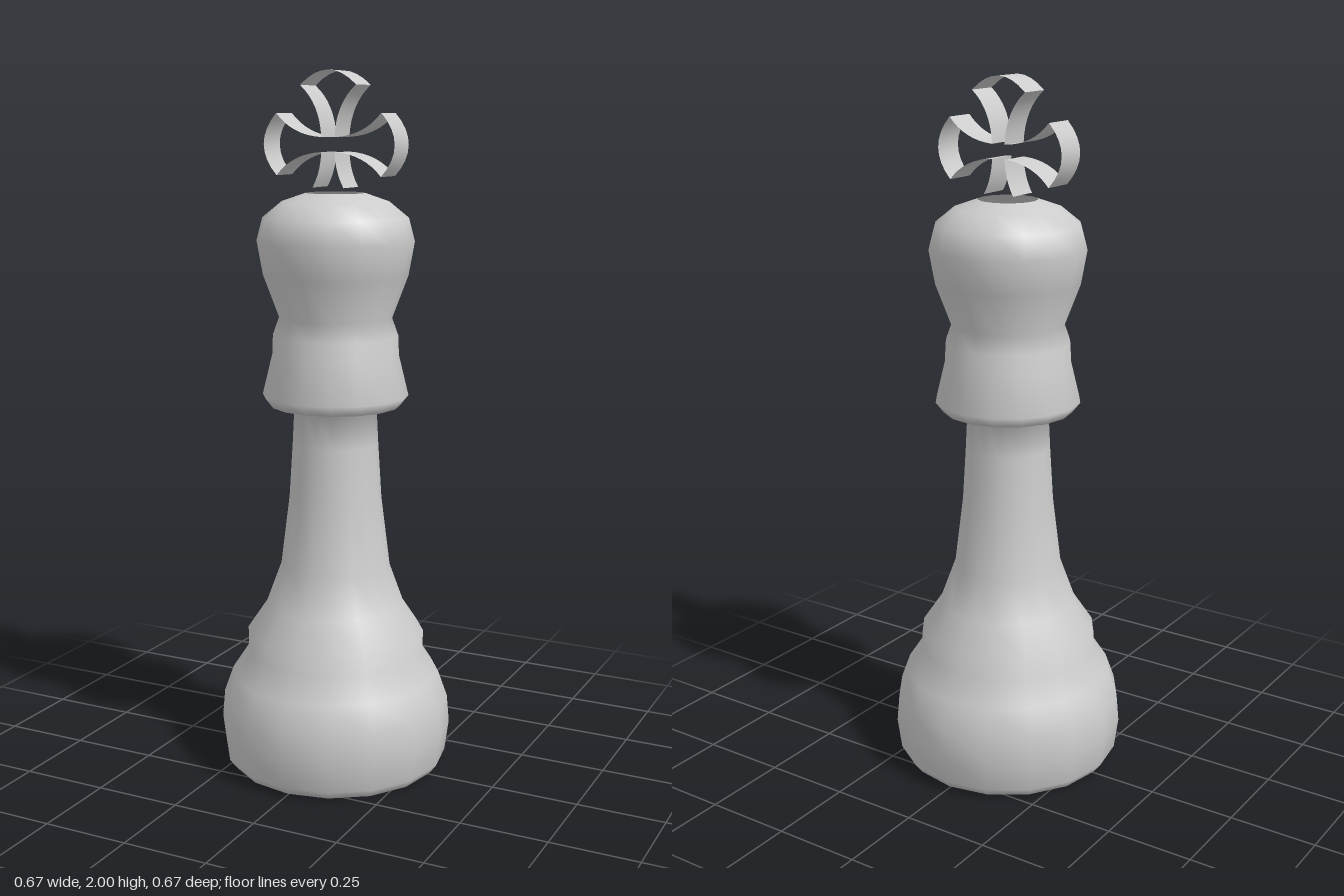
import * as THREE from 'three';

const grey = new THREE.MeshStandardMaterial({ color: 0xcccccc, side: THREE.DoubleSide });
grey.name = 'pale grey';

const CROSS_Y = 1.8;
const HALF_DEPTH = 0.047;

// Open strip that sweeps a 2D line along z
function ribbon(points, name) {
  const positions = [];
  const index = [];
  points.forEach((p, i) => {
    positions.push(p.x, p.y, HALF_DEPTH, p.x, p.y, -HALF_DEPTH);
    if (i > 0) {
      const a = 2 * i - 2;
      index.push(a, a + 2, a + 1, a + 1, a + 2, a + 3);
    }
  });
  const geometry = new THREE.BufferGeometry();
  geometry.setAttribute('position', new THREE.Float32BufferAttribute(positions, 3));
  geometry.setIndex(index);
  geometry.computeVertexNormals();
  const mesh = new THREE.Mesh(geometry, grey);
  mesh.name = name;
  return mesh;
}

function curve(x0, y0, cx, cy, x1, y1) {
  return new THREE.QuadraticBezierCurve(
    new THREE.Vector2(x0, y0), new THREE.Vector2(cx, cy), new THREE.Vector2(x1, y1));
}

// One flared arm pointing up: two curved flanks and a rounded tip
function crossArm(name, truncated) {
  const arm = new THREE.Group();
  arm.name = name;
  for (const s of [1, -1]) {
    let points = curve(s * 0.02, 0.02, s * 0.025, 0.11, s * 0.085, 0.16).getPoints(8);
    if (truncated) points = points.filter((p) => p.y < 0.122);
    arm.add(ribbon(points, 'armFlank'));
  }
  if (!truncated) {
    arm.add(ribbon(curve(0.085, 0.16, 0, 0.24, -0.085, 0.16).getPoints(8), 'armTip'));
  }
  return arm;
}

export function createModel() {
  const model = new THREE.Group();
  model.name = 'chessKing';

  // Turned body, 16 sided, open at the crown
  const profile = [
    [0, 0], [0.305, 0.004], [0.325, 0.03], [0.337, 0.12], [0.33, 0.2], [0.303, 0.275],
    [0.257, 0.345], [0.257, 0.4], [0.2, 0.485], [0.158, 0.6], [0.133, 0.8], [0.123, 0.96],
    [0.118, 1.06], [0.185, 1.07], [0.208, 1.1], [0.18, 1.215], [0.178, 1.27], [0.16, 1.32],
    [0.205, 1.44], [0.222, 1.535], [0.205, 1.6], [0.15, 1.645], [0.083, 1.668],
  ].map(([r, y]) => new THREE.Vector2(r, y));
  const body = new THREE.Mesh(new THREE.LatheGeometry(profile, 16), grey);
  body.name = 'body';
  model.add(body);

  // Hollow cross, its lower arm cut short above the crown
  const cross = new THREE.Group();
  cross.name = 'cross';
  ['topArm', 'leftArm', 'bottomArm', 'rightArm'].forEach((name, i) => {
    const arm = crossArm(name, name === 'bottomArm');
    arm.rotation.z = -i * Math.PI / 2;
    cross.add(arm);
  });
  cross.position.y = CROSS_Y;
  model.add(cross);

  return model;
}
